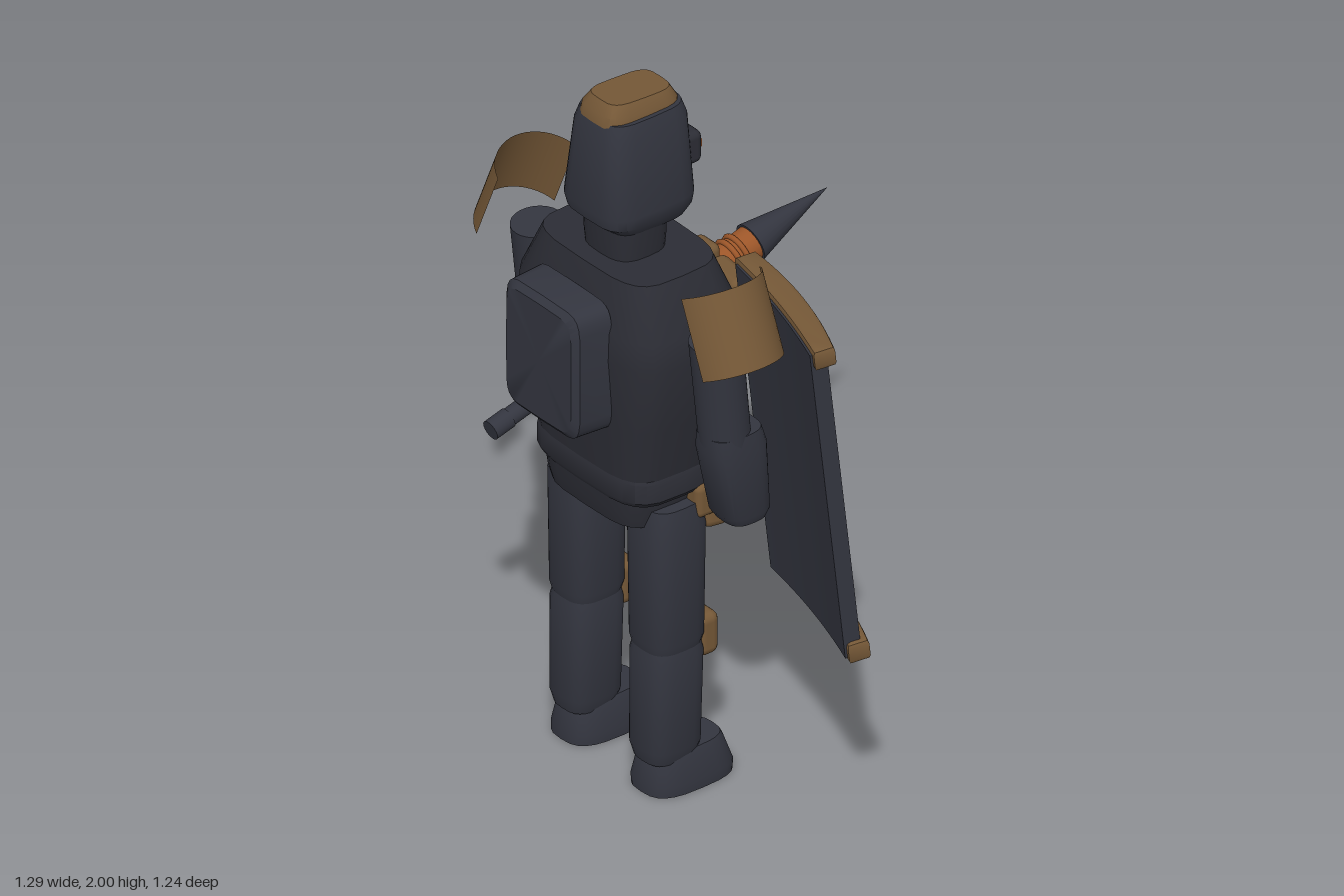
import * as THREE from 'three';
import { toCreasedNormals } from 'three/addons/utils/BufferGeometryUtils.js';
import { RoundedBoxGeometry } from 'three/addons/geometries/RoundedBoxGeometry.js';

const material = (name, color, side = THREE.FrontSide) => {
  const m = new THREE.MeshStandardMaterial({ color, side });
  m.name = name;
  return m;
};

// Closed solid through rounded-square rings: [y, halfX, halfZ, centreZ]
function loft(rings, power = 4, n = 24, crease = 0.6) {
  const pos = [], idx = [];
  const soft = (v) => Math.sign(v) * Math.pow(Math.abs(v), 2 / power);
  for (const [y, hx, hz, cz] of rings) {
    for (let i = 0; i < n; i++) {
      const a = (i / n) * Math.PI * 2;
      pos.push(hx * soft(Math.cos(a)), y, cz + hz * soft(Math.sin(a)));
    }
  }
  const last = (rings.length - 1) * n;
  for (let j = 0; j < last; j += n) {
    for (let i = 0; i < n; i++) {
      const k = (i + 1) % n;
      idx.push(j + i, j + n + i, j + k, j + k, j + n + i, j + n + k);
    }
  }
  const bottom = pos.length / 3, lo = rings[0], hi = rings[rings.length - 1];
  pos.push(0, lo[0], lo[3], 0, hi[0], hi[3]);
  for (let i = 0; i < n; i++) {
    const k = (i + 1) % n;
    idx.push(bottom, i, k, bottom + 1, last + k, last + i);
  }
  const g = new THREE.BufferGeometry();
  g.setAttribute('position', new THREE.Float32BufferAttribute(pos, 3));
  g.setIndex(idx);
  return toCreasedNormals(g, crease);
}

export function createModel() {
  const armour = material('dark armour', 0x33353f);
  const suit = material('dark suit', 0x2c2d35);
  const tan = material('tan plate', 0x755837);
  const tanSheet = material('tan sheet', 0x755837, THREE.DoubleSide);
  const copper = material('copper', 0x9c5629);
  const yellow = material('warning yellow', 0x8f741f);

  const model = new THREE.Group();
  model.name = 'shieldGuard';
  const body = new THREE.Group();
  body.name = 'body';
  body.position.x = -0.095;
  model.add(body);

  const add = (parent, name, geometry, mat, x = 0, y = 0, z = 0) => {
    const mesh = new THREE.Mesh(geometry, mat);
    mesh.name = name;
    mesh.position.set(x, y, z);
    parent.add(mesh);
    return mesh;
  };
  const box = (w, h, d, r) => new RoundedBoxGeometry(w, h, d, 2, r);

  // Torso, hips and pack
  add(body, 'hips', loft([[0.8, 0.19, 0.13, 0.34], [0.84, 0.2, 0.145, 0.335], [0.9, 0.21, 0.15, 0.335]]), suit);
  add(body, 'belt', loft([[0.88, 0.225, 0.155, 0.33], [0.895, 0.236, 0.163, 0.33],
    [0.95, 0.236, 0.163, 0.33], [0.97, 0.225, 0.155, 0.33]]), suit);
  add(body, 'torso', loft([[0.95, 0.23, 0.16, 0.33], [1.12, 0.26, 0.185, 0.325], [1.32, 0.295, 0.198, 0.325],
    [1.4, 0.287, 0.195, 0.325], [1.54, 0.225, 0.15, 0.33]]), suit);
  const pack = loft([[-0.06, 0.155, 0.192, 0], [0.04, 0.15, 0.188, 0], [0.055, 0.132, 0.17, 0]], 7);
  pack.rotateX(Math.PI / 2);
  add(body, 'backpack', pack, armour, 0, 1.29, 0.567);

  // Chest plates
  add(body, 'chestPlateCentre', box(0.085, 0.3, 0.07, 0.02), tan, 0, 1.29, 0.09);
  for (const s of [-1, 1]) {
    const plate = add(body, 'chestPlateSide', box(0.15, 0.29, 0.07, 0.022), tan, s * 0.135, 1.29, 0.108);
    plate.rotation.y = -s * 0.12;
  }

  // Neck and helmet
  add(body, 'neck', loft([[1.52, 0.095, 0.085, 0.34], [1.58, 0.1, 0.09, 0.34], [1.66, 0.105, 0.09, 0.34]], 3), suit);
  add(body, 'helmet', loft([[1.62, 0.1, 0.115, 0.31], [1.655, 0.124, 0.142, 0.325], [1.69, 0.13, 0.148, 0.327],
    [1.91, 0.107, 0.133, 0.322], [1.95, 0.095, 0.12, 0.322]]), armour);
  const crest = add(body, 'helmetCrest', loft([[-0.03, 0.084, 0.122, 0], [0, 0.081, 0.118, 0],
    [0.03, 0.062, 0.1, 0]]), tan, 0, 1.962, 0.325);
  crest.rotation.x = -0.05;
  add(body, 'visor', box(0.17, 0.095, 0.07, 0.02), suit, 0, 1.79, 0.185);
  add(body, 'visorSlit', box(0.14, 0.026, 0.012, 0.005), copper, 0, 1.79, 0.148);

  // Legs, arms and shoulder pads on both sides
  const foot = loft([[0, 0.086, 0.135, 0.285], [0.03, 0.087, 0.135, 0.285], [0.1, 0.072, 0.115, 0.29],
    [0.115, 0.066, 0.107, 0.29]], 3);
  const shin = loft([[0.09, 0.065, 0.075, 0.34], [0.13, 0.077, 0.085, 0.34], [0.4, 0.081, 0.087, 0.335],
    [0.45, 0.07, 0.075, 0.335]], 3);
  const thigh = loft([[0.41, 0.072, 0.078, 0.335], [0.45, 0.083, 0.088, 0.335], [0.78, 0.087, 0.092, 0.335],
    [0.85, 0.075, 0.08, 0.335]], 3);
  const upperArm = new THREE.CylinderGeometry(0.07, 0.068, 0.32, 24);
  const forearm = loft([[0.865, 0.058, 0.058, 0.255], [0.89, 0.067, 0.072, 0.258], [1.09, 0.071, 0.088, 0.285],
    [1.14, 0.066, 0.08, 0.293]], 3);
  const shoulder = new THREE.CylinderGeometry(0.132, 0.132, 0.225, 20, 1, true, Math.PI / 2 - 1.3, 2.6);
  for (const s of [-1, 1]) {
    const leg = new THREE.Group();
    leg.name = s > 0 ? 'leftLeg' : 'rightLeg';
    leg.position.x = s * 0.162;
    body.add(leg);
    add(leg, 'foot', foot, armour);
    add(leg, 'shin', shin, armour);
    add(leg, 'thigh', thigh, armour);
    add(leg, 'kneePad', box(0.125, 0.125, 0.07, 0.025), tan, 0, 0.425, 0.24);
    add(leg, 'hipPouch', box(0.13, 0.15, 0.08, 0.025), tan, 0.015 * s, 0.825, 0.215).rotation.y = -s * 0.2;
    add(leg, 'sidePouchEdge', box(0.06, 0.1, 0.1, 0.02), tan, s * 0.055, 0.85, 0.25);

    const arm = new THREE.Group();
    arm.name = s > 0 ? 'leftArm' : 'rightArm';
    arm.position.x = s * 0.362;
    body.add(arm);
    add(arm, 'upperArm', upperArm, armour, 0, 1.26, 0.32).rotation.x = 0.1;
    add(arm, 'forearm', forearm, armour);

    const mount = new THREE.Group();
    mount.name = 'shoulderMount';
    mount.rotation.y = s > 0 ? 0 : Math.PI;
    mount.position.set(s * 0.383, 1.472, 0.328);
    body.add(mount);
    add(mount, 'shoulderPad', shoulder, tanSheet).rotation.z = 0.4;
  }
  add(body, 'beltBuckle', box(0.095, 0.1, 0.06, 0.02), tan, 0, 0.88, 0.175);

  // Spear held in the right hand
  const spear = new THREE.Group();
  spear.name = 'spear';
  spear.position.set(-0.467, 0.845, 0.48);
  spear.rotation.x = -Math.atan2(1.1, 0.3);
  model.add(spear);
  const rod = (name, rTop, rLow, y0, y1, mat) =>
    add(spear, name, new THREE.CylinderGeometry(rTop, rLow, y1 - y0, 20), mat, 0, (y0 + y1) / 2, 0);
  rod('spearButt', 0.028, 0.028, 0, 0.06, armour);
  rod('spearShaft', 0.025, 0.025, 0.05, 0.78, armour);
  rod('spearCollar', 0.048, 0.046, 0.757, 0.885, copper);
  rod('spearTip', 0, 0.055, 0.88, 1.14, armour);
  for (const y of [0.81, 0.835]) {
    add(spear, 'collarRing', new THREE.TorusGeometry(0.048, 0.008, 8, 24), copper, 0, y, 0).rotation.x = Math.PI / 2;
  }

  // Curved shield, leaning and turned outwards
  const shield = new THREE.Group();
  shield.name = 'shield';
  shield.position.set(0.383, 1.045, 0.145);
  shield.rotation.set(0.105, -0.27, 0, 'YXZ');
  model.add(shield);
  const W = 0.48, FRONT = 0.012, BULGE = 0.022;
  const slab = (w, back, front, h, bevel) => {
    const s = new THREE.Shape();
    s.moveTo(-w / 2, back);
    s.quadraticCurveTo(0, back + BULGE, w / 2, back);
    s.lineTo(w / 2, front);
    s.quadraticCurveTo(0, front + 2 * BULGE, -w / 2, front);
    s.closePath();
    const g = new THREE.ExtrudeGeometry(s, { depth: h - 2 * bevel, curveSegments: 12, bevelEnabled: bevel > 0,
      bevelSize: bevel, bevelThickness: bevel, bevelSegments: 2 });
    g.translate(0, 0, bevel - h / 2);
    g.rotateX(-Math.PI / 2);
    return toCreasedNormals(g, 0.6);
  };
  add(shield, 'shieldPanel', slab(W, -0.034, FRONT, 0.935, 0), armour);
  for (const s of [-1, 1]) {
    add(shield, 'shieldRim', slab(0.485, -0.016, 0.02, 0.06, 0.012), tan, 0, s * 0.453, 0);
  }
  // Painted band and slashes bent to the shield's front
  const paint = (name, mat, w, h, x0, y0, shear, lift) => {
    const g = new THREE.PlaneGeometry(w, h, 12, 4).rotateY(Math.PI);
    const p = g.attributes.position;
    for (let i = 0; i < p.count; i++) {
      const y = p.getY(i);
      const x = THREE.MathUtils.clamp(p.getX(i) + x0 - shear * y, -0.2, 0.2);
      p.setXYZ(i, x, y + y0, -(FRONT + BULGE * (1 - (2 * x / W) ** 2) + lift));
    }
    g.computeVertexNormals();
    add(shield, name, g, mat);
  };
  paint('warningBand', yellow, 0.4, 0.11, 0, -0.28, 0, 0.003);
  for (const x of [-0.17, -0.055, 0.06, 0.175]) paint('warningSlash', suit, 0.05, 0.11, x, -0.28, 1, 0.006);
  add(shield, 'viewSlotFrame', box(0.17, 0.05, 0.024, 0.01), suit, 0, 0.3, -0.036);
  add(shield, 'viewSlot', box(0.14, 0.028, 0.012, 0.005), copper, 0, 0.3, -0.046);

  return model;
}
